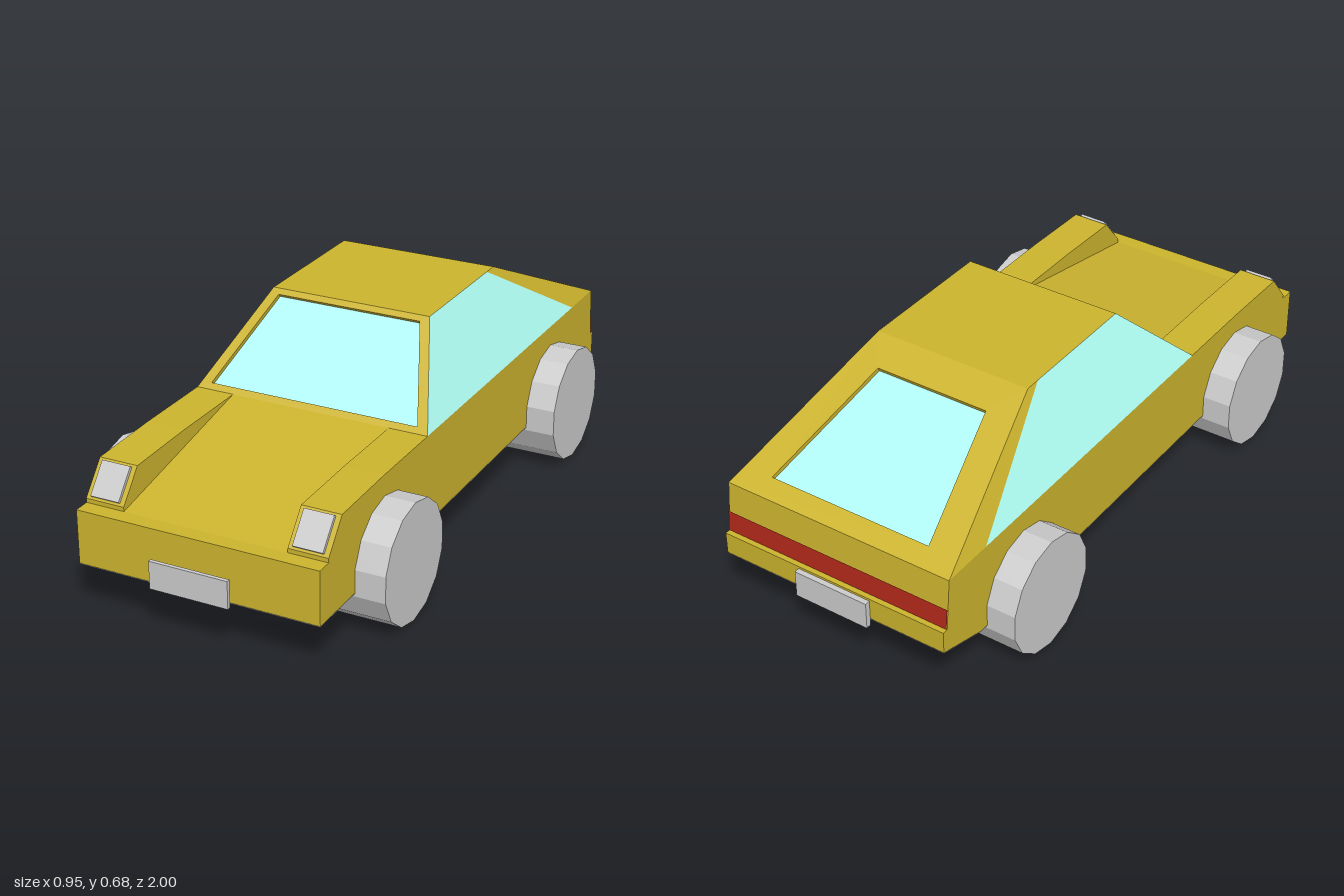
import * as THREE from 'three';

const paint = (color) => new THREE.MeshStandardMaterial({ color, flatShading: true, side: THREE.DoubleSide });
const V = (x, y, z) => new THREE.Vector3(x, y, z);

// Flat-faced geometry from convex polygons, corners counter-clockwise seen from outside
function faces(polygons) {
  const pts = [];
  for (const p of polygons)
    for (let i = 1; i < p.length - 1; i++) pts.push(p[0], p[i], p[i + 1]);
  const g = new THREE.BufferGeometry().setFromPoints(pts);
  g.computeVertexNormals();
  return g;
}

// Side profile of [z, y] points, extruded between x0 and x1
function slab(profile, x0, x1) {
  const shape = new THREE.Shape(profile.map(([z, y]) => new THREE.Vector2(z, y)));
  const g = new THREE.ExtrudeGeometry(shape, { depth: x1 - x0, bevelEnabled: false });
  return g.rotateY(-Math.PI / 2).translate(x1, 0, 0);
}

// Frame around an opening, with walls going down to a sunken pane
function framedPane(outer, inner, depth) {
  const n = inner[1].clone().sub(inner[0]).cross(inner[2].clone().sub(inner[0])).normalize();
  const pane = inner.map((p) => p.clone().addScaledVector(n, -depth));
  const frame = [];
  for (let i = 0; i < 4; i++) {
    const j = (i + 1) % 4;
    frame.push([outer[i], outer[j], inner[j], inner[i]], [inner[i], inner[j], pane[j], pane[i]]);
  }
  return { frame: faces(frame), pane: faces([pane]) };
}

export function createModel() {
  const car = new THREE.Group();
  const body = paint(0xccb42e), glass = paint(0xb0fff5), red = paint(0xb0281a), grey = paint(0xcccccc);
  const add = (name, geometry, material) => {
    const mesh = new THREE.Mesh(geometry, material);
    mesh.name = name;
    car.add(mesh);
    return mesh;
  };
  const W = 0.38, R = 0.26, BELT = 0.43, TOP = 0.68;

  // Lower body: middle with sloping hood, and a raised fender on each side
  const tail = [[0.32, BELT], [-0.95, BELT], [-0.965, 0.27], [-0.983, 0.27], [-0.983, 0.2], [-0.81, 0.15]];
  const nose = [[0.97, 0.15], [0.97, 0.317], [0.92, 0.317]];
  add('hoodAndMiddleBody', slab([...nose, ...tail], -0.257, 0.257), body);
  const fender = [...nose, [0.92, 0.33], [0.843, 0.424], [0.6, BELT], ...tail];
  add('leftFender', slab(fender, 0.257, W), body);
  add('rightFender', slab(fender, -W, -0.257), body);

  // Floor, rising towards the tail
  add('floor', faces([
    [V(-W, 0.148, -0.81), V(W, 0.148, -0.81), V(W, 0.148, 0.97), V(-W, 0.148, 0.97)],
    [V(-W, 0.198, -0.983), V(W, 0.198, -0.983), V(W, 0.148, -0.81), V(-W, 0.148, -0.81)],
  ]), grey);

  // Roof
  add('roof', faces([[V(-R, TOP, 0.06), V(R, TOP, 0.06), V(R, TOP, -0.4), V(-R, TOP, -0.4)]]), body);

  // Windshield
  const front = framedPane(
    [V(-W, BELT, 0.32), V(W, BELT, 0.32), V(R, TOP, 0.06), V(-R, TOP, 0.06)],
    [V(-0.34, 0.445, 0.304), V(0.34, 0.445, 0.304), V(0.235, 0.666, 0.075), V(-0.235, 0.666, 0.075)], 0.014);
  add('windshieldFrame', front.frame, body);
  add('windshield', front.pane, glass);

  // Sloping hatch with rear window
  const hatch = framedPane(
    [V(W, BELT, -0.95), V(-W, BELT, -0.95), V(-R, TOP, -0.4), V(R, TOP, -0.4)],
    [V(0.27, 0.457, -0.89), V(-0.27, 0.457, -0.89), V(-0.187, 0.635, -0.5), V(0.187, 0.635, -0.5)], 0.014);
  add('hatchFrame', hatch.frame, body);
  add('rearWindow', hatch.pane, glass);

  for (const s of [1, -1]) {
    const side = s > 0 ? 'left' : 'right';
    const turn = (p) => (s > 0 ? p : p.reverse());

    // Side window and rear pillar share one leaning plane
    add(side + 'SideWindow', faces([turn([
      V(s * W, BELT, 0.32), V(s * W, BELT, -0.78), V(s * R, TOP, -0.35), V(s * R, TOP, 0.06)])]), glass);
    add(side + 'RearPillar', faces([turn([
      V(s * W, BELT, -0.78), V(s * W, BELT, -0.95), V(s * R, TOP, -0.4), V(s * R, TOP, -0.35)])]), body);

    // Headlight on the slanted end of the fender
    const lamp = add(side + 'Headlight', new THREE.BoxGeometry(0.092, 0.106, 0.02), grey);
    lamp.position.set(s * 0.318, 0.377, 0.8815);
    lamp.rotation.x = -Math.atan2(0.077, 0.094);

    // Fourteen-sided wheels resting on a flat
    for (const [end, z] of [['Front', 0.59], ['Rear', -0.6]]) {
      const r = 0.18 / Math.cos(Math.PI / 14);
      const g = new THREE.CylinderGeometry(r, r, 0.211, 14).rotateY(Math.PI / 2).rotateZ(Math.PI / 2);
      add(side + end + 'Wheel', g, grey).position.set(s * 0.3675, 0.18, z);
    }
  }

  // Tail light strip across the back
  add('tailLight', faces([[
    V(W, 0.272, -0.968), V(-W, 0.272, -0.968), V(-W, 0.336, -0.962), V(W, 0.336, -0.962)]]), red);

  // Blank plates
  add('frontPlate', new THREE.BoxGeometry(0.247, 0.086, 0.012), grey).position.set(-0.008, 0.19, 0.994);
  add('rearPlate', new THREE.BoxGeometry(0.247, 0.086, 0.017), grey).position.set(-0.008, 0.22, -0.9915);

  return car;
}
